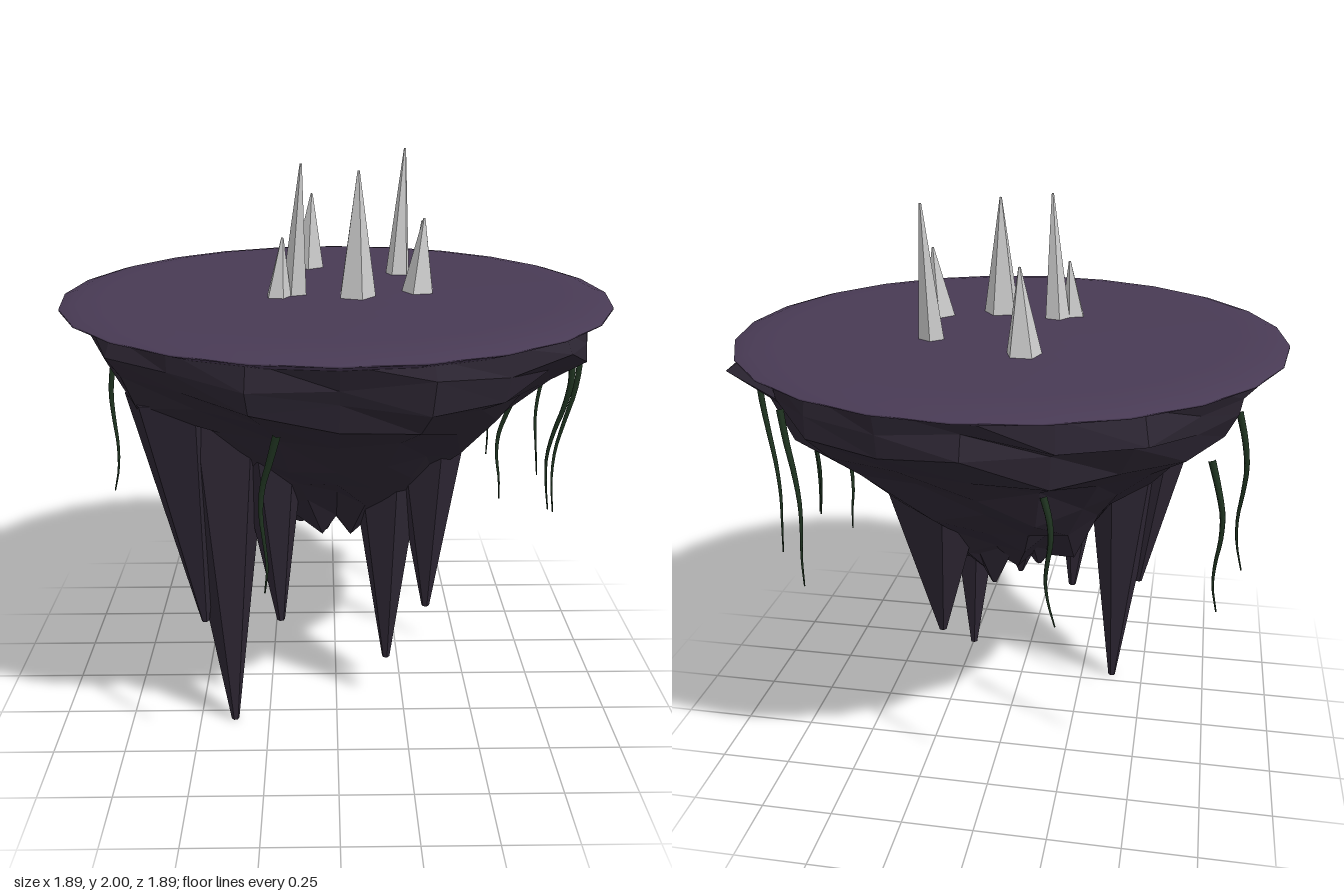
import * as THREE from 'three';

const mat = (color, flatShading = false) =>
  new THREE.MeshStandardMaterial({ color, flatShading });
const rock = mat(0x2d2633, true);
const soil = mat(0x483a54);
const vineMat = mat(0x1f3320);
const crystalMat = mat(0xcccccc, true);

// Repeatable noise in -1..1
const noise = (i, j) => {
  const s = Math.sin(i * 127.1 + j * 311.7) * 43758.5453;
  return (s - Math.floor(s)) * 2 - 1;
};
const profile = (pts) => pts.map(([x, y]) => new THREE.Vector2(x, y));

function add(parent, name, geometry, material) {
  const mesh = new THREE.Mesh(geometry, material);
  mesh.name = name;
  parent.add(mesh);
  return mesh;
}

// Tapered underside with each ring of vertices pushed in and out
function bodyGeometry() {
  const rings = profile([
    [0, 0.68], [0.17, 0.74], [0.31, 0.84], [0.41, 0.95], [0.52, 1.05],
    [0.64, 1.17], [0.75, 1.28], [0.83, 1.36], [0.86, 1.43], [0.86, 1.51],
  ]);
  const sides = 20, n = rings.length;
  const geo = new THREE.LatheGeometry(rings, sides);
  const p = geo.attributes.position;
  for (let i = 0; i <= sides; i++) {
    for (let j = 0; j < n; j++) {
      const k = i * n + j, c = i % sides;
      const bump = j === 8 && c === 6 ? 1.11 : 1; // protruding ledge
      const amount = j === n - 1 ? 0 : 0.055;
      const s = (1 + amount * noise(c, j)) * bump;
      const drop = j === 0 ? 0 : j === n - 1 ? 0 : (j < 3 ? 0.07 : 0.025) * noise(c + 31, j);
      p.setXYZ(k, p.getX(k) * s, p.getY(k) + drop, p.getZ(k) * s);
    }
  }
  geo.computeVertexNormals();
  return geo;
}

// Cone running from a wide base point to a blunt tip
function spike(base, tip, rBase, rTip, sides, spin = 0) {
  const a = new THREE.Vector3(...base), b = new THREE.Vector3(...tip);
  const dir = b.clone().sub(a);
  const geo = new THREE.CylinderGeometry(rTip, rBase, dir.length(), sides, 1);
  geo.rotateY(spin);
  geo.applyQuaternion(new THREE.Quaternion().setFromUnitVectors(
    new THREE.Vector3(0, 1, 0), dir.normalize()));
  const mid = a.add(b).multiplyScalar(0.5);
  return geo.translate(mid.x, mid.y, mid.z);
}

// Wavy hanging tube that thins toward its lower end
function vineGeometry(x, y, z, i) {
  const end = 0.74, sx = -0.045, sz = z < -0.5 ? -0.04 : z < 0 ? -0.02 : -0.03;
  const pts = [];
  for (let k = 0; k <= 6; k++) {
    const t = k / 6, w = 0.018 * Math.sin(t * 6.5 + i);
    pts.push(new THREE.Vector3(x + sx * t + w, y + (end - y) * t, z + sz * t + w * 0.8));
  }
  const curve = new THREE.CatmullRomCurve3(pts);
  const segs = 16, sides = 5;
  const geo = new THREE.TubeGeometry(curve, segs, 0.013, sides);
  const p = geo.attributes.position, v = new THREE.Vector3();
  for (let k = 0; k < p.count; k++) {
    const t = Math.floor(k / (sides + 1)) / segs;
    const c = curve.getPointAt(t);
    v.fromBufferAttribute(p, k).sub(c).multiplyScalar(1 - 0.8 * t).add(c);
    p.setXYZ(k, v.x, v.y, v.z);
  }
  return geo;
}

export function createModel() {
  const model = new THREE.Group();
  model.name = 'floatingIsland';

  // Top plate with a thin overhanging rim
  add(model, 'topPlate', new THREE.LatheGeometry(profile([
    [0.8, 1.47], [0.945, 1.522], [0.945, 1.528], [0.9, 1.541],
    [0.84, 1.549], [0.76, 1.554], [0, 1.558],
  ]), 24), soil);

  add(model, 'rockBody', bodyGeometry(), rock);

  // Hanging rock spikes: base, tip, base radius
  const stalactites = new THREE.Group();
  stalactites.name = 'stalactites';
  model.add(stalactites);
  [
    [[-0.4, 1.2, 0.31], [-0.375, 0, 0.3], 0.18],
    [[-0.52, 1.28, 0.35], [-0.465, 0.43, 0.34], 0.18],
    [[-0.23, 1.2, 0.31], [-0.2, 0.41, 0.3], 0.14],
    [[0.17, 1.1, 0.18], [0.185, 0.18, 0.17], 0.15],
    [[0.31, 1.12, 0.21], [0.325, 0.41, 0.2], 0.14],
    [[0.21, 1.1, -0.31], [0.2, 0.5, -0.29], 0.19],
  ].forEach(([base, tip, r], i) =>
    add(stalactites, 'stalactite', spike(base, tip, r, 0.014, 6, i), rock));

  // Small jagged points around the lowest part
  [[-0.04, 0.62, -0.02], [0.03, 0.65, -0.18], [-0.12, 0.7, -0.1], [0.04, 0.7, 0.05]]
    .forEach(([x, y, z], i) => add(stalactites, 'smallPoint',
      spike([x, 0.9, z], [x, y, z], 0.15, 0.01, 5, i), rock));

  // Crystals: base x, z, tip x, y, z, radius
  const crystals = new THREE.Group();
  crystals.name = 'crystals';
  model.add(crystals);
  [
    [-0.1, -0.35, -0.085, 1.83, -0.34, 0.062],
    [0.23, -0.21, 0.25, 2.0, -0.24, 0.046],
    [0.285, 0, 0.295, 1.78, 0.012, 0.032],
    [0.28, 0.11, 0.295, 1.8, 0.09, 0.06],
    [0.065, 0.185, 0.07, 1.965, 0.185, 0.067],
    [-0.14, 0.14, -0.115, 1.985, 0.17, 0.047],
    [-0.195, 0.185, -0.178, 1.75, 0.18, 0.045],
  ].forEach(([x, z, tx, ty, tz, r], i) => add(crystals, 'crystal',
    spike([x, 1.545, z], [tx, ty, tz], r, 0.004, 5, i * 0.7), crystalMat));

  // Hanging vines around the edge
  const vines = new THREE.Group();
  vines.name = 'vines';
  model.add(vines);
  [
    [0.83, 1.45, 0.14], [0.81, 1.34, 0.11], [0.83, 1.45, -0.25],
    [0.64, 1.24, 0], [0.66, 1.37, -0.49], [-0.2, 1.27, 0.75],
    [-0.72, 1.26, -0.42], [-0.8, 1.32, -0.1], [-0.2, 1.17, -0.58],
  ].forEach(([x, y, z], i) => add(vines, 'vine', vineGeometry(x, y, z, i * 0.4), vineMat));

  return model;
}
